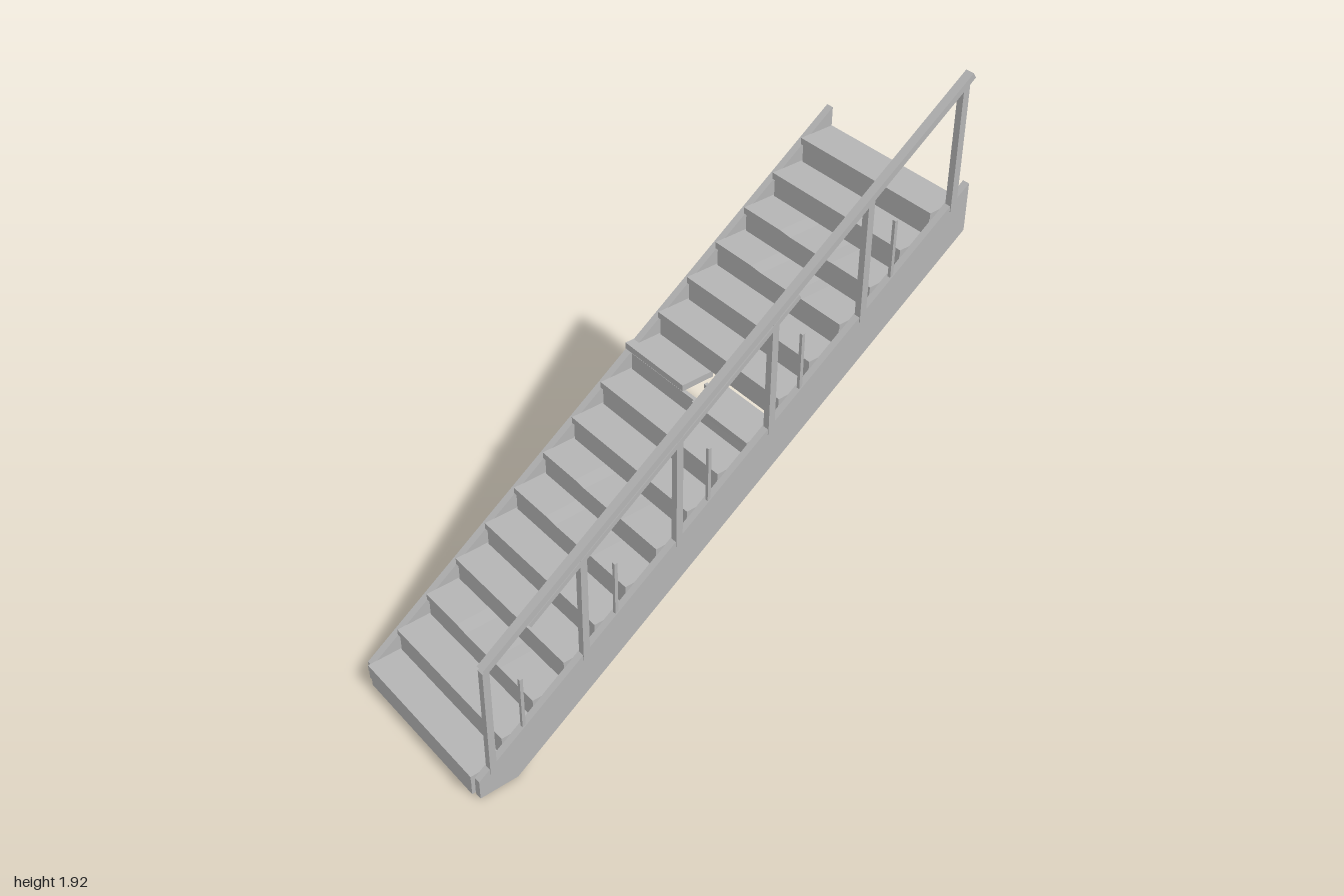
import * as THREE from 'three';

const STEPS = 16, RISE = 0.09, RUN = 0.124, THICK = 0.024;
const BROKEN = 9;                       // index of the snapped tread
const WORN = [2, 5, 6, 12, 13];         // treads with a shallow worn hollow
const SLOPE = 0.7225;
const stringerTop = (z) => 1.51 - (z + 1) * SLOPE;
const railTop = (z) => 1.922 - (z + 0.95) * SLOPE;

export function createModel() {
  const model = new THREE.Group();
  model.name = 'staircase';
  const wood = new THREE.MeshStandardMaterial({ color: 0xb4b4b4 });
  wood.name = 'grey timber';

  const add = (name, geometry, parent = model) => {
    const mesh = new THREE.Mesh(geometry, wood);
    mesh.name = name;
    parent.add(mesh);
    return mesh;
  };

  // Box given by its limits on each axis
  const box = (name, x0, x1, y0, y1, z0, z1, parent) => {
    const mesh = add(name, new THREE.BoxGeometry(x1 - x0, y1 - y0, z1 - z0), parent);
    mesh.position.set((x0 + x1) / 2, (y0 + y1) / 2, (z0 + z1) / 2);
    return mesh;
  };

  // Outline in (z, y), extruded across x from x0 to x1
  const sidePlate = (name, points, x0, x1, parent) => {
    const shape = new THREE.Shape(points.map(([z, y]) => new THREE.Vector2(-z, y)));
    const geometry = new THREE.ExtrudeGeometry(shape, { depth: x1 - x0, bevelEnabled: false });
    geometry.rotateY(Math.PI / 2);
    geometry.translate(x0, 0, 0);
    return add(name, geometry, parent);
  };

  // Sloping side boards
  const stringer = [[0.985, 0], [0.84, 0], [-1, 1.335], [-1, 1.51], [0.985, stringerTop(0.985)]];
  sidePlate('rightStringer', stringer, -0.34, -0.312);
  sidePlate('leftStringer', stringer, 0.3, 0.326);

  // Treads and risers
  const steps = new THREE.Group();
  steps.name = 'steps';
  model.add(steps);
  for (let i = 0; i < STEPS; i++) {
    const front = 1 - RUN * i;
    const top = RISE * (i + 1);
    const back = i === STEPS - 1 ? -1 : front - RUN - 0.012;
    box('riser', -0.305, 0.295, RISE * i, top - THICK, front - 0.018, front - 0.004, steps);
    if (i === BROKEN) continue;
    const dip = WORN.includes(i) ? 0.004 : 0;
    const outline = [[-0.313, -THICK], [0.301, -THICK], [0.301, 0]];
    if (dip) outline.push([0.12, 0], [0.07, -dip], [-0.08, -dip], [-0.13, 0]);
    outline.push([-0.313, 0]);
    const shape = new THREE.Shape(outline.map(([x, y]) => new THREE.Vector2(x, y)));
    const tread = add('tread',
      new THREE.ExtrudeGeometry(shape, { depth: front - back, bevelEnabled: false }), steps);
    tread.position.set(0, top, back);
  }

  // Snapped tread: one half slid sideways, one half dropped, and a splinter
  const z1 = 1 - RUN * BROKEN, y1 = RISE * (BROKEN + 1);
  box('brokenTreadRight', -0.341, -0.035, y1 - THICK, y1, z1 - RUN - 0.012, z1 - 0.005, steps);
  const dropped = box('brokenTreadLeft', 0.025, 0.3, 0.858, 0.88, z1 - RUN - 0.008, z1 + 0.005, steps);
  dropped.rotation.x = 0.06;
  box('splinter', -0.02, 0.026, 0.862, 0.878, -0.215, -0.2, steps);

  // Cross board closing the upper end
  box('backCrossBoard', -0.312, 0.3, 1.337, 1.4, -1, -0.982);

  // Railing along the left side
  const railing = new THREE.Group();
  railing.name = 'railing';
  model.add(railing);

  sidePlate('handrail', [
    [0.93, railTop(0.945) - 0.02], [-0.962, railTop(-0.95) - 0.018],
    [-0.95, railTop(-0.95)], [0.945, railTop(0.945)],
  ], 0.304, 0.336, railing);

  // Loose rail strip hanging just beneath the handrail
  const strip = (z) => 0.63 + (0.77 - z) * 0.719;
  sidePlate('lowerRail', [
    [0.76, strip(0.77) - 0.008], [-0.285, strip(-0.28) - 0.008],
    [-0.277, strip(-0.28) + 0.006], [0.77, strip(0.77) + 0.006],
  ], 0.309, 0.331, railing);

  // Post or stub standing on the sloping board
  const upright = (name, z, half, top, x0, x1) => sidePlate(name, [
    [z + half, stringerTop(z + half) - 0.02], [z - half, stringerTop(z - half) - 0.02],
    [z - half, top(z - half)], [z + half, top(z + half)],
  ], x0, x1, railing);

  for (let i = 0; i < 6; i++) {
    upright('railPost', 0.93 - i * 0.373, 0.0125, (z) => railTop(z) - 0.02, 0.304, 0.329);
  }
  for (let i = 0; i < 5; i++) {
    const z = 0.802 - i * 0.372;
    upright('balusterStub', z, 0.006, () => 0.415 + i * 0.269, 0.309, 0.321);
  }

  return model;
}
